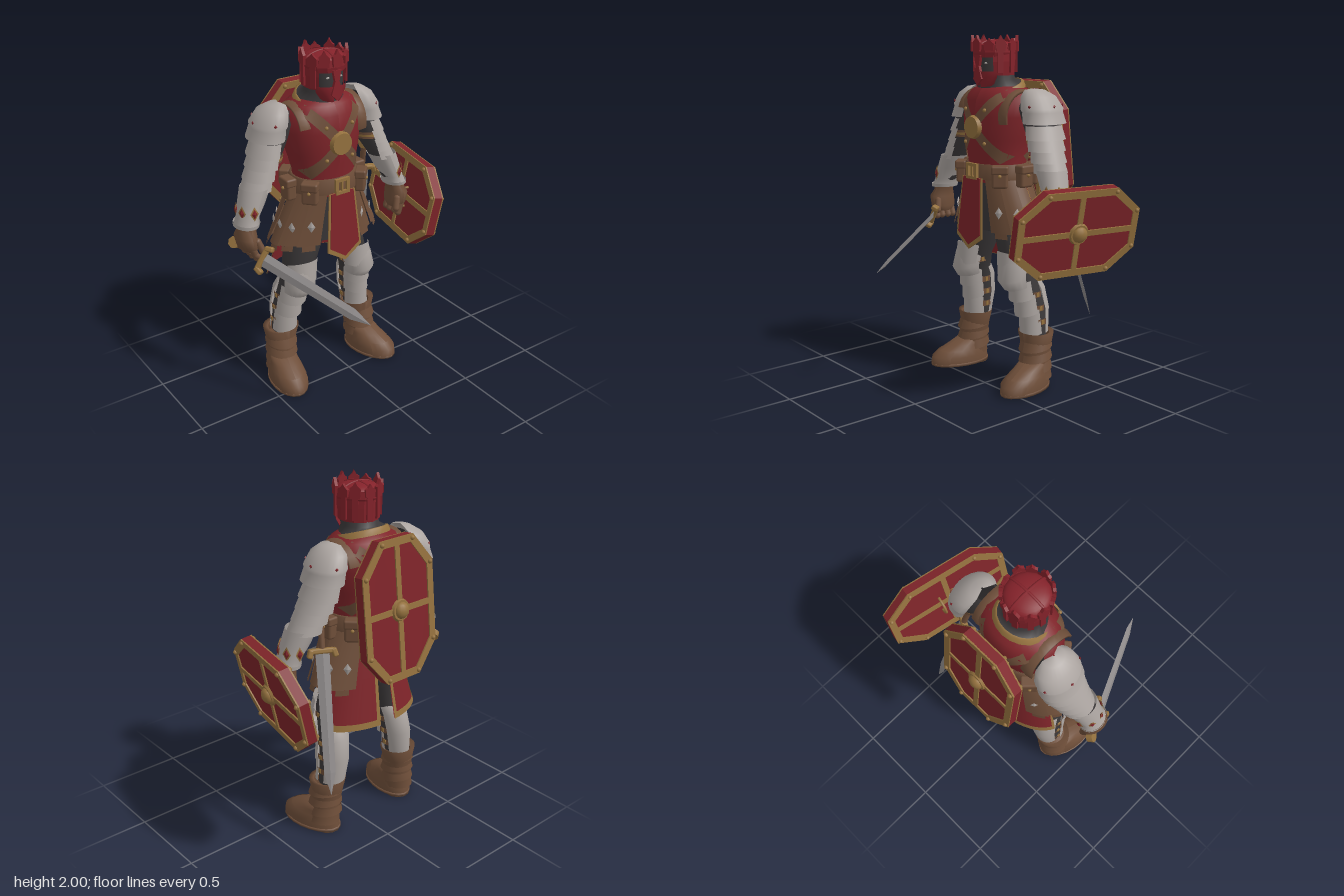
import * as THREE from 'three';
import { RoundedBoxGeometry } from 'three/addons/geometries/RoundedBoxGeometry.js';

const mat = (name, color) => new THREE.MeshStandardMaterial({ name, color, side: THREE.DoubleSide });
const RAD = Math.PI / 180;

export function createModel() {
  const red = mat('red cloth', 0x7e2429), steel = mat('steel', 0xaca5a1), leather = mat('leather', 0x6e4e39),
    gold = mat('aged gold', 0x94713e), dark = mat('charcoal cloth', 0x3b3839), crimson = mat('crimson helmet', 0x84222a),
    blade = mat('blade metal', 0x8e8a8a), sole = mat('dark leather', 0x5c412f);

  const add = (parent, name, geo, m, p = [0, 0, 0], r = [0, 0, 0], s = [1, 1, 1]) => {
    const mesh = new THREE.Mesh(geo, m);
    mesh.name = name;
    mesh.position.set(...p); mesh.rotation.set(...r); mesh.scale.set(...s);
    parent.add(mesh);
    return mesh;
  };
  const group = (parent, name, p = [0, 0, 0]) => {
    const g = new THREE.Group();
    g.name = name; g.position.set(...p); parent.add(g);
    return g;
  };
  const flat = g => { const f = g.toNonIndexed(); f.computeVertexNormals(); return f; };
  const box = (...a) => new THREE.BoxGeometry(...a);

  // Skin over elliptical rings [x, y, z, rx, rz, frontTilt]; angle 0 is the front, 90 is +x
  function loft(rings, a0 = 0, a1 = 360, n = 20) {
    const pos = [], idx = [], up = rings[0][1] < rings[rings.length - 1][1], w = n + 1;
    for (const [x, y, z, rx, rz, tilt = 0] of rings)
      for (let j = 0; j <= n; j++) {
        const a = (a0 + (a1 - a0) * j / n) * RAD;
        pos.push(x + rx * Math.sin(a), y + tilt * Math.cos(a), z + rz * Math.cos(a));
      }
    for (let i = 0; i < rings.length - 1; i++)
      for (let j = 0; j < n; j++) {
        const a = i * w + j, b = a + 1, c = a + w, d = c + 1;
        up ? idx.push(a, b, d, a, d, c) : idx.push(a, d, b, a, c, d);
      }
    const g = new THREE.BufferGeometry();
    g.setAttribute('position', new THREE.Float32BufferAttribute(pos, 3));
    g.setIndex(idx); g.computeVertexNormals();
    return g;
  }
  const shape = pts => new THREE.Shape(pts.map(p => new THREE.Vector2(...p)));
  const plate = (s, depth) => new THREE.ExtrudeGeometry(s, { depth, bevelEnabled: false }).translate(0, 0, -depth / 2);
  // Turns an object so its y axis follows dir and its x axis leans to hint
  function aim(obj, p, dir, hint) {
    const y = new THREE.Vector3(...dir).normalize(), x = new THREE.Vector3(...hint);
    x.addScaledVector(y, -x.dot(y)).normalize();
    obj.quaternion.setFromRotationMatrix(new THREE.Matrix4().makeBasis(x, y, x.clone().cross(y)));
    obj.position.set(...p);
  }

  const model = new THREE.Group();
  model.name = 'knight';
  const root = group(model, 'figure');
  root.rotation.y = Math.PI / 2;
  const body = group(root, 'body', [-0.07, 0, -0.14]);

  // Torso
  const torso = [[0, 1.18, -.01, .19, .155], [0, 1.3, -.01, .18, .155], [0, 1.42, -.02, .21, .18], [0, 1.55, -.03, .235, .19],
    [0, 1.64, -.035, .23, .18], [0, 1.69, -.035, .19, .15], [0, 1.715, -.03, .13, .115]];
  add(body, 'tunic', loft(torso, 0, 360, 28), red);
  add(body, 'collar', loft([[0, 1.685, -.02, .16, .147, -.04], [0, 1.715, -.02, .146, .134, -.04], [0, 1.715, -.02, .135, .122, -.04]]), gold);
  add(body, 'neck', loft([[0, 1.71, -.02, .138, .125, -.04], [0, 1.75, -.01, .1, .1], [0, 1.85, .01, .1, .1]]), dark);
  const surf = (x, y, side, off) => {
    let i = 0;
    while (i < torso.length - 2 && torso[i + 1][1] < y) i++;
    const t = Math.min(1, Math.max(0, (y - torso[i][1]) / (torso[i + 1][1] - torso[i][1])));
    const [, , cz, rx, rz] = torso[i].map((v, k) => v + (torso[i + 1][k] - v) * t);
    return [x, y, cz + side * (rz * Math.sqrt(Math.max(0.02, 1 - (x / rx) ** 2)) + off)];
  };
  for (const face of [1, -1]) for (const dir of [1, -1]) {
    // Crossed chest strap laid on the tunic
    const pos = [], idx = [], n = 14;
    for (let i = 0; i <= n; i++) for (const e of [-.021, .021]) {
      const t = i / n;
      pos.push(...surf(dir * (-.165 + .33 * t + e), 1.68 - .37 * t + e, face, .009));
      if (i < n && e > 0) idx.push(2 * i, 2 * i + 2, 2 * i + 1, 2 * i + 1, 2 * i + 2, 2 * i + 3);
    }
    const g = new THREE.BufferGeometry();
    g.setAttribute('position', new THREE.Float32BufferAttribute(pos, 3));
    g.setIndex(face * dir < 0 ? idx.reverse() : idx); g.computeVertexNormals();
    add(body, 'chestStrap', g, leather);
    for (const t of [.25, .75])
      add(body, 'strapRivet', new THREE.SphereGeometry(.011, 8, 6), gold, surf(dir * (-.165 + .33 * t), 1.68 - .37 * t, face, .012));
  }
  for (const s of [1, -1]) add(body, 'shoulderStrap', new THREE.TorusGeometry(.14, .013, 6, 16, Math.PI), leather, [s * .172, 1.55, -.035], [0, Math.PI / 2, s * .25], [1, 1, 3.4]);
  add(body, 'chestDisc', new THREE.CylinderGeometry(.06, .068, .025, 20), gold, [0, 1.49, .172], [Math.PI / 2, 0, 0]);

  // Belt with buckle and pouches
  add(body, 'belt', loft([[0, 1.2, -.01, .195, .165], [0, 1.2, -.01, .21, .175], [0, 1.285, -.01, .2, .172], [0, 1.285, -.01, .18, .15]], 0, 360, 28), leather);
  const frame = shape([[-.045, -.045], [.045, -.045], [.045, .045], [-.045, .045]]);
  frame.holes.push(shape([[-.028, -.028], [-.028, .028], [.028, .028], [.028, -.028]]));
  add(body, 'buckle', plate(frame, .018), gold, [0, 1.245, .175]);
  add(body, 'bucklePin', box(.012, .06, .012), gold, [0, 1.245, .175]);
  for (const s of [1, -1]) for (const a of [48, 92, 135]) {
    const p = group(body, 'pouch', [s * .225 * Math.sin(a * RAD), 1.22, -.01 + .185 * Math.cos(a * RAD)]);
    p.rotation.y = s * a * RAD;
    add(p, 'pouchBag', new RoundedBoxGeometry(.09, .12, .06, 2, .015), leather);
    add(p, 'pouchFlap', new RoundedBoxGeometry(.097, .05, .067, 2, .012), leather, [0, .042, .003]);
    add(p, 'pouchStud', new THREE.SphereGeometry(.01, 8, 6), gold, [0, .01, .034]);
  }

  // Skirt: dark underlayer, leather strips, split red back and front tabard
  add(body, 'hips', loft([[0, .9, -.02, .2, .13], [0, 1.02, -.02, .2, .14], [0, 1.22, -.01, .18, .15]]), dark);
  const diamond = flat(new THREE.OctahedronGeometry(.02));
  for (const s of [1, -1]) {
    const half = group(body, s > 0 ? 'leftSkirt' : 'rightSkirt');
    half.scale.x = s;
    [22, 47, 72, 97, 121].forEach((a, i) => {
      const o = (i % 2) * .01 + (i > 3 ? .015 : 0), low = .905 + (i % 2) * .012;
      const hem = [0, low, -.03, .335 + o, .185 + o];
      add(half, 'skirtStrip', loft([hem, [0, 1.06, -.02, .265 + o, .175 + o], [0, 1.21, -.01, .195 + o, .165 + o]], a, a + 27, 4), leather);
      add(half, 'stripTip', loft([[0, low - .03, -.03, .342 + o, .187 + o], hem], a + 5, a + 20, 3), leather);
      const m = (a + 14) * RAD;
      add(half, 'stripStud', diamond, steel, [(.291 + o) * Math.sin(m), 1.02, -.025 + (.184 + o) * Math.cos(m)], [0, m, 0], [1.1, 1.7, .35]);
    });
    const back = (y, o) => [0, y, -.01 - .05 * (1.21 - y) / .54, .19 + o + .145 * (1.21 - y) / .54, .155 + o + .045 * (1.21 - y) / .54];
    add(half, 'backSkirt', loft([back(.67, 0), back(.94, 0), back(1.21, 0)], 104, 171, 10), red);
    add(half, 'backHem', loft([back(.665, .005), back(.7, .005)], 104, 171, 10), gold);
    for (const a of [104, 167]) add(half, 'backTrim', loft([back(.67, .005), back(1.21, .005)], a, a + 4, 2), gold);
  }
  const tab = (w, low) => shape([[-.085 * w, 0], [-.112 * w, -.34 * low], [0, -.41 * low], [.112 * w, -.34 * low], [.085 * w, 0]]);
  add(body, 'tabardTrim', plate(tab(1, 1), .008), gold, [0, 1.21, .172], [-.07, 0, 0]);
  add(body, 'tabard', plate(tab(.86, .94), .016), red, [0, 1.21, .172], [-.07, 0, 0]);

  // Helmet with crown points
  const helm = group(body, 'helmet', [0, 0, .01]);
  add(helm, 'face', loft([[0, 1.72, .01, .07, .085], [0, 1.8, .01, .095, .1], [0, 1.93, 0, .1, .1]]), dark);
  add(helm, 'helmetBack', flat(loft([[0, 1.775, -.005, .108, .112], [0, 1.85, 0, .118, .121], [0, 1.94, 0, .12, .124]], 46, 314, 10)), crimson);
  add(helm, 'brow', flat(loft([[0, 1.872, .005, .112, .118], [0, 1.9, 0, .122, .128], [0, 1.94, 0, .12, .124]], 0, 360, 14)), crimson);
  add(helm, 'skullCap', new THREE.SphereGeometry(.118, 16, 8, 0, Math.PI * 2, 0, Math.PI / 2), crimson, [0, 1.92, 0], [0, 0, 0], [1, .4, 1]);
  for (const r of [0, 1]) add(helm, 'capRidge', new THREE.TorusGeometry(.117, .008, 5, 16, Math.PI), crimson, [0, 1.92, 0], [0, r * Math.PI / 2, 0], [1, .42, 1]);
  add(helm, 'noseGuard', plate(shape([[-.026, .14], [-.013, .08], [-.036, .01], [0, -.025], [.036, .01], [.013, .08], [.026, .14]]), .018), crimson, [0, 1.745, .119]);
  for (const s of [1, -1]) {
    add(helm, 'cheekGuard', loft([[0, 1.725, .015, .07, .1, -.015], [0, 1.765, .01, .106, .114], [0, 1.798, .005, .112, .119]], s * 10, s * 62, 5), crimson);
    add(helm, 'eye', new THREE.SphereGeometry(.011, 8, 6), steel, [s * .04, 1.842, .098], [0, 0, 0], [1.1, .5, .5]);
  }
  const point = shape([[-.026, -.02], [.026, -.02], [.029, .03], [.01, .05], [0, .07], [-.014, .045], [-.029, .035]]);
  for (let i = 0; i < 11; i++) {
    const a = (i + (i % 2) * .1) / 11 * Math.PI * 2, k = i % 2 ? .75 : 1;
    add(helm, 'crownPoint', plate(point, .016), crimson, [.122 * Math.sin(a), 1.925, .126 * Math.cos(a)], [0, a, 0], [1, k, 1]);
    if (i > 1 && i < 10) add(helm, 'helmetRib', box(.03, .15, .012), crimson, [.119 * Math.sin(a), 1.865, .123 * Math.cos(a)], [0, a, 0]);
  }

  for (const s of [1, -1]) {
    const side = s > 0 ? 'left' : 'right';
    // Leg
    const leg = group(body, side + 'Leg');
    leg.scale.x = s;
    add(leg, 'trouser', loft([[.1, 1.02, -.02, .11, .13], [.14, .86, -.025, .11, .115], [.185, .72, -.005, .088, .098], [.213, .6, -.035, .074, .082], [.24, .45, -.075, .07, .078], [.26, .3, -.075, .062, .07]]), dark);
    add(leg, 'thighPlate', loft([[.195, .68, .02, .098, .103, -.02], [.18, .765, .005, .1, .11, .035]], -65, 75, 10), steel);
    add(leg, 'kneeCup', loft([[.213, .6, .01, .083, .09, -.02], [.207, .66, .025, .096, .112, -.03], [.197, .73, .01, .094, .105, .01]], -85, 85, 10), steel);
    [[.54, .64, .218, -.02], [.45, .56, .232, -.045], [.33, .47, .25, -.065]].forEach(([lo, hi, x, z], i) =>
      add(leg, 'greave', loft([[x + .008, lo, z - .012, .09 - i * .005, .1 - i * .004, -.03], [x, hi, z, .083 - i * .004, .094 - i * .004, -.02]], -80, 80, 10), steel));
    add(leg, 'calfPlate', loft([[.255, .32, -.075, .076, .085], [.24, .46, -.075, .086, .1], [.225, .58, -.055, .086, .1], [.215, .64, -.03, .083, .09]], 104, 256, 12), steel);
    for (const [y, x, z] of [[.39, .248, -.072], [.47, .238, -.065], [.55, .227, -.05], [.69, .19, .01]])
      for (const a of [72, 252]) {
        add(leg, 'legStrap', loft([[x, y - .017, z, .083, .093], [x, y + .017, z, .083, .093]], a, a + 36, 5), leather);
        add(leg, 'strapBuckle', box(.008, .024, .018), gold, [x + (a < 180 ? .083 : -.083), y, z]);
      }
    // Boot
    add(leg, 'bootShaft', loft([[.292, .06, -.05, .09, .105], [.283, .14, -.055, .08, .09], [.278, .25, -.07, .088, .088], [.275, .33, -.07, .108, .1], [.27, .32, -.07, .08, .08]]), leather);
    for (const y of [.13, .195, .26]) add(leg, 'bootFold', loft([[.283, y - .025, -.06, .094, .1, -.015], [.28, y + .025, -.065, .083, .087, -.01]]), leather);
    const foot = group(leg, 'foot', [.285, 0, -.05]);
    foot.rotation.y = .2;
    add(foot, 'shoe', loft([[0, .02, .085, .104, .185], [0, .06, .083, .104, .18], [0, .095, .065, .093, .155], [0, .125, .035, .082, .12], [0, .16, 0, .075, .085], [0, .17, 0, .01, .01]]), leather);
    add(foot, 'toeCap', loft([[0, .02, .085, .108, .19], [0, .062, .083, .108, .185], [0, .095, .068, .094, .157]], -55, 55, 10), leather);
    add(foot, 'sole', loft([[0, .008, .085, .01, .01], [0, .008, .085, .108, .19], [0, .024, .085, .108, .19], [0, .024, .085, .08, .16]]), leather);
    add(foot, 'heel', new THREE.CylinderGeometry(.075, .075, .02, 12), sole, [0, .01, -.025]);

    // Arm
    const arm = group(body, side + 'Arm');
    arm.scale.x = s;
    add(arm, 'sleeve', loft([[.49, 1.1, -.01, .05, .055], [.405, 1.3, -.045, .07, .075], [.325, 1.45, -.06, .088, .09], [.26, 1.6, -.065, .09, .1], [.23, 1.67, -.05, .04, .05]]), dark);
    add(arm, 'pauldron', loft([[.318, 1.52, -.08, .101, .134], [.3, 1.58, -.08, .095, .126], [.295, 1.6, -.08, .1, .132], [.27, 1.665, -.075, .083, .108], [.25, 1.7, -.065, .05, .06], [.245, 1.708, -.06, .005, .005]], -30, 210, 16), steel);
    for (const a of [20, 90, 160]) add(arm, 'pauldronGem', diamond, red, [.292 + .1 * Math.sin(a * RAD), 1.615, -.08 + .131 * Math.cos(a * RAD)], [0, a * RAD, 0], [.5, .5, .3]);
    [[1.455, .328], [1.395, .35], [1.335, .378], [1.28, .405]].forEach(([y, x], i) =>
      add(arm, 'armLame', loft([[x, y - .02, -.072 + i * .009, .103 - i * .003, .127 - i * .01], [x - .025, y + .055, -.077 + i * .009, .094 - i * .003, .115 - i * .009]], -8 - i * 5, 188 + i * 5, 14), steel));
    for (const [h, m] of [[.02, leather], [.007, gold]])
      add(arm, 'elbowStrap', loft([[.338, 1.42 - h, -.058, .096 - h / 3, .1 - h / 3], [.333, 1.42 + h, -.06, .096 - h / 3, .1 - h / 3]], 200, 365, 10), m);
    add(arm, 'vambrace', loft([[.5, 1.085, -.01, .064, .082], [.487, 1.13, -.015, .06, .074], [.455, 1.2, -.025, .073, .085], [.422, 1.28, -.035, .083, .09]]), steel);
    add(arm, 'cuffRing', loft([[.502, 1.08, -.01, .067, .085], [.498, 1.1, -.01, .07, .088]]), steel);
    for (const a of [10, 65, 115, 170]) {
      const p = [.475 + .067 * Math.sin(a * RAD), 1.165, -.02 + .083 * Math.cos(a * RAD)];
      add(arm, 'cuffGemMount', diamond, gold, p, [0, a * RAD, 0], [1.2, 2.1, .3]);
      add(arm, 'cuffGem', diamond, red, p, [0, a * RAD, 0], [1, 1.75, .5]);
    }
    // Glove
    add(arm, 'glove', loft([[.495, .93, 0, .03, .05], [.505, .96, 0, .052, .08], [.515, 1.02, 0, .058, .082], [.505, 1.06, -.005, .05, .06], [.5, 1.1, -.01, .058, .066]]), leather);
    for (let i = 0; i < 4; i++) add(arm, 'finger', new THREE.CapsuleGeometry(.02, .06, 3, 8), leather, [.5 - (i % 2) * .005, .93, -.06 + i * .04], [0, 0, -.35]);
    add(arm, 'thumb', new THREE.CapsuleGeometry(.02, .06, 3, 8), leather, [.465, .97, .07], [-.3, 0, -.3]);
  }

  // Sword pointing along its own y, origin at the guard
  function sword(name, len, p, dir, hint) {
    const g = group(root, name);
    add(g, 'blade', flat(new THREE.CylinderGeometry(.031, .038, len * .84, 4)), blade, [0, len * .42, 0], [0, 0, 0], [1, 1, .28]);
    add(g, 'bladeTip', flat(new THREE.ConeGeometry(.031, len * .16, 4)), blade, [0, len * .92, 0], [0, 0, 0], [1, 1, .28]);
    add(g, 'guard', new RoundedBoxGeometry(.13, .03, .035, 2, .01), gold);
    for (const s of [1, -1]) add(g, 'guardEnd', new RoundedBoxGeometry(.03, .05, .04, 2, .01), gold, [s * .065, .012, 0], [0, 0, -s * .3]);
    add(g, 'grip', new THREE.CylinderGeometry(.016, .018, .16, 8), leather, [0, -.09, 0]);
    add(g, 'pommel', new THREE.CylinderGeometry(.034, .034, .035, 8), gold, [0, -.185, 0], [Math.PI / 2, 0, 0]);
    aim(g, p, dir, hint);
  }
  sword('handSword', .7, [-.545, .91, -.04], [.28, -.21, .6], [.6, 1, 0]);
  sword('hipSword', .78, [.29, 1.16, -.27], [.1, -.74, -.19], [1, 0, .5]);

  // Eight-sided shield, long axis y, outer face +z
  const octagon = k => {
    const w = .245 - k, h = .38 - k, c = k * .5;
    return [[-w, -h + .16 - c], [-w + .13 - c, -h], [w - .13 + c, -h], [w, -h + .16 - c], [w, h - .16 + c], [w - .13 + c, h], [-w + .13 - c, h], [-w, h - .16 + c]];
  };
  function shield(name, p, dir, hint) {
    const g = group(root, name);
    add(g, 'board', plate(shape(octagon(0)), .05), red);
    const rim = shape(octagon(0));
    rim.holes.push(shape(octagon(.04).reverse()));
    for (const s of [1, -1]) {
      add(g, 'rim', plate(rim, .009), gold, [0, 0, s * .028]);
      add(g, 'longBar', box(.032, .7, .009), gold, [0, 0, s * .028]);
      add(g, 'crossBar', box(.43, .032, .009), gold, [0, 0, s * .028]);
      for (const [x, y] of octagon(.02)) add(g, 'rivet', new THREE.SphereGeometry(.013, 8, 6), gold, [x, y, s * .034]);
    }
    add(g, 'bossPlate', new THREE.CylinderGeometry(.055, .062, .014, 12), gold, [0, 0, .034], [Math.PI / 2, 0, 0]);
    add(g, 'boss', new THREE.SphereGeometry(.045, 14, 8), gold, [0, 0, .038], [0, 0, 0], [1, 1, .75]);
    for (const y of [-.06, .08]) add(g, 'handle', new THREE.TorusGeometry(.06, .008, 6, 12, Math.PI), gold, [0, y, -.028], [-Math.PI / 2, 0, 0]);
    aim(g, p, dir, hint);
  }
  shield('backShield', [-.055, 1.36, -.455], [0, 1, .12], [-1, 0, 0]);
  shield('handShield', [.54, .965, -.18], [-.2, 0, 1], [.22, 1, 0]);
  return model;
}
